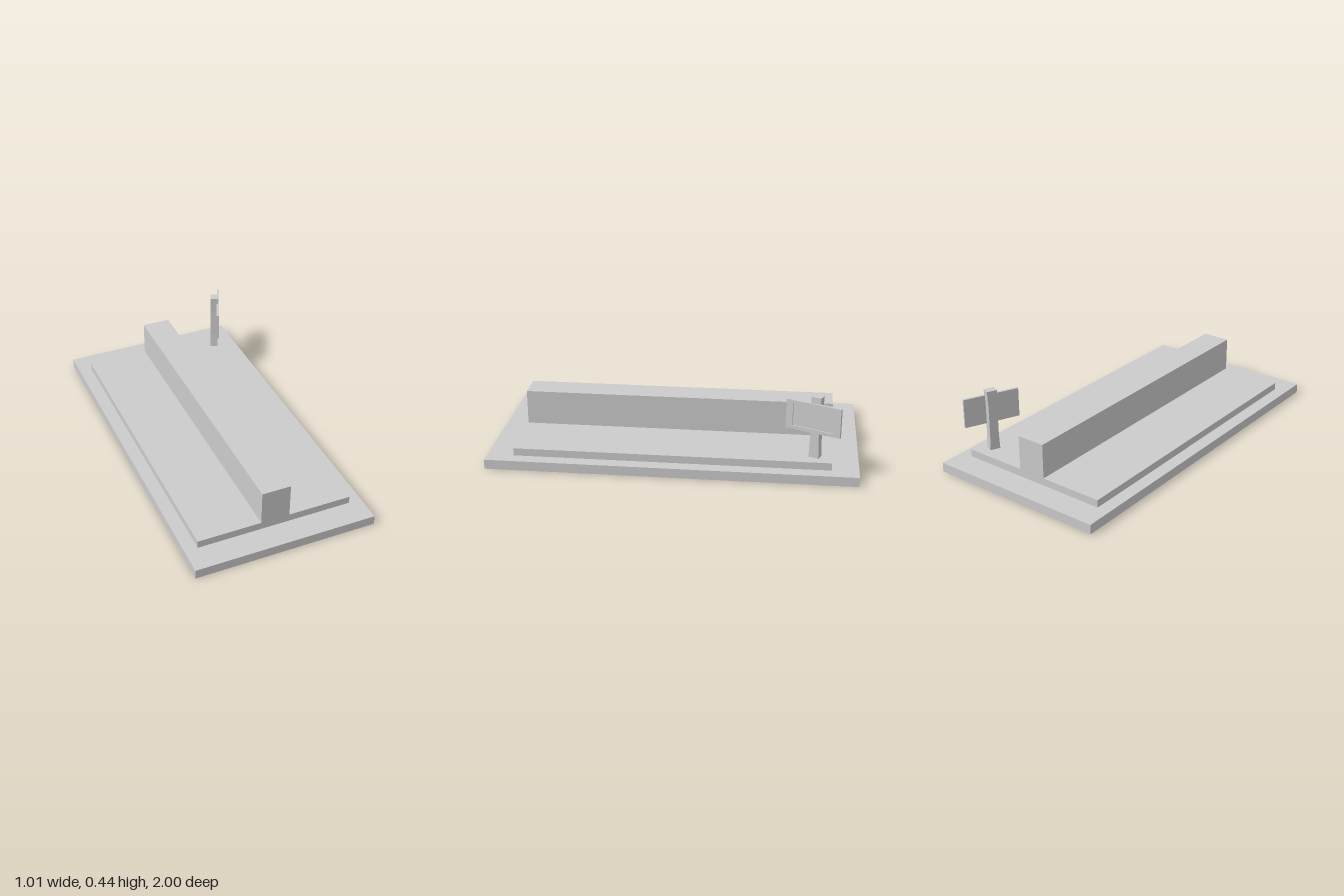
import * as THREE from 'three';

const material = new THREE.MeshStandardMaterial({ color: 0xcccccc, flatShading: true });

function add(parent, name, geometry, x, y, z) {
  const mesh = new THREE.Mesh(geometry, material);
  mesh.name = name;
  mesh.position.set(x, y, z);
  parent.add(mesh);
  return mesh;
}

// Box given by its bottom and top heights
function block(parent, name, w, d, y0, y1, x = 0, z = 0) {
  return add(parent, name, new THREE.BoxGeometry(w, y1 - y0, d, 1, 4, 1), x, (y0 + y1) / 2, z);
}

function rectangle(target, w, h) {
  target.moveTo(-w / 2, -h / 2);
  target.lineTo(w / 2, -h / 2);
  target.lineTo(w / 2, h / 2);
  target.lineTo(-w / 2, h / 2);
  target.closePath();
  return target;
}

export function createModel() {
  const model = new THREE.Group();
  model.name = 'platform';

  // Stepped platform with a central wall
  block(model, 'base', 1.01, 2, 0, 0.053);
  block(model, 'upperSlab', 0.866, 1.71, 0.053, 0.095);
  block(model, 'centralWall', 0.16, 1.71, 0.095, 0.288);

  // Signpost, turned to face mostly towards +x
  const sign = new THREE.Group();
  sign.name = 'signpost';
  sign.position.set(0.371, 0, -0.748);
  sign.rotation.y = 1.159;
  model.add(sign);

  // Post with a slightly narrower waist
  const post = block(sign, 'post', 0.057, 0.044, 0.095, 0.438, 0.009, -0.023);
  const p = post.geometry.attributes.position;
  for (let i = 0; i < p.count; i++) {
    if (Math.abs(p.getY(i)) < 0.1) p.setX(i, p.getX(i) * 0.87);
  }
  post.geometry.computeVertexNormals();

  // Board: raised frame around a recessed panel
  const outline = rectangle(new THREE.Shape(), 0.31, 0.163);
  outline.holes.push(rectangle(new THREE.Path(), 0.232, 0.124));
  const frame = new THREE.ExtrudeGeometry(outline, { depth: 0.015, bevelEnabled: false });
  add(sign, 'boardFrame', frame, 0, 0.3215, -0.0075);
  add(sign, 'boardPanel', new THREE.BoxGeometry(0.232, 0.124, 0.008), 0, 0.3215, -0.0035);

  return model;
}
